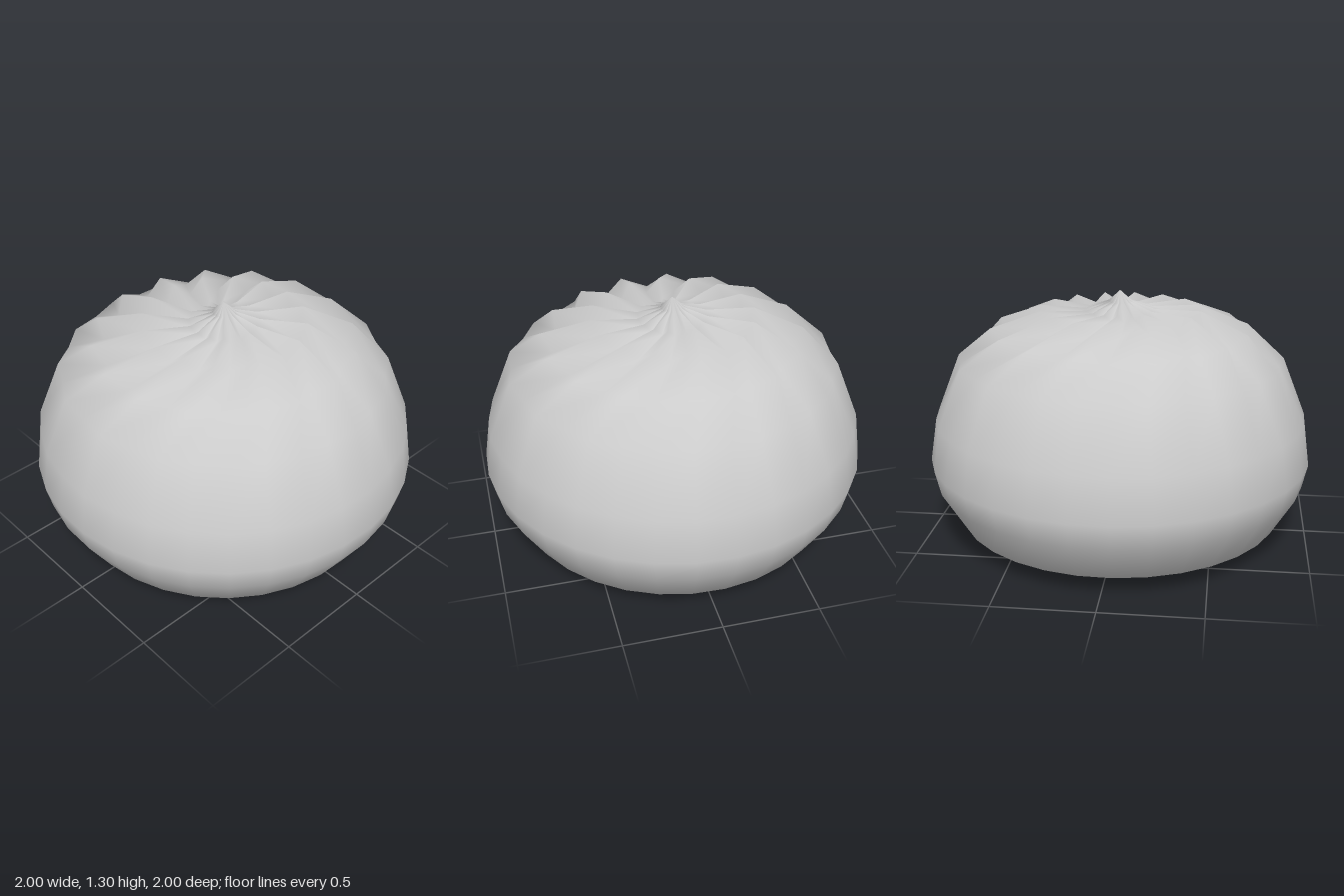
import * as THREE from 'three';

const PLEATS = 16;
const SIDES = PLEATS * 2;
const rad = THREE.MathUtils.degToRad;

// Rings from base to tip: ridge radius, ridge height, swirl in degrees,
// then how far each valley sinks inward and downward
const RINGS = [
  [0.53, 0.0, 3.7, 0, 0],
  [0.85, 0.1, 3.7, 0, 0],
  [0.97, 0.3, 3.7, 0, 0],
  [1.0, 0.43, 3.7, 0, 0],
  [0.97, 0.65, 3.7, 0.005, 0],
  [0.85, 0.95, 4, 0.025, 0.005],
  [0.67, 1.11, 11, 0.06, 0.045],
  [0.42, 1.205, 18, 0.035, 0.06],
  [0.18, 1.203, 24, 0.02, 0.035],
  [0.06, 1.245, 26, 0.02, 0.01],
];

// Round dough body whose upper rings alternate between ridge and valley
function pleatedBody() {
  const pos = [], index = [];
  for (const [r, y, swirl, sinkIn, sinkDown] of RINGS) {
    for (let k = 0; k < SIDES; k++) {
      const a = rad(swirl + (k * 360) / SIDES);
      const valley = k % 2;
      const rr = r - valley * sinkIn;
      pos.push(rr * Math.cos(a), y - valley * sinkDown, -rr * Math.sin(a));
    }
  }
  const tip = pos.length / 3;
  pos.push(0, 1.3, 0);

  const last = RINGS.length - 1;
  for (let j = 0; j <= last; j++) {
    for (let k = 0; k < SIDES; k++) {
      const n = (k + 1) % SIDES;
      const a = j * SIDES + k, b = j * SIDES + n;
      if (j === last) index.push(a, b, tip);
      else index.push(a, b, b + SIDES, a, b + SIDES, a + SIDES);
    }
  }
  const geo = new THREE.BufferGeometry();
  geo.setAttribute('position', new THREE.Float32BufferAttribute(pos, 3));
  geo.setIndex(index);
  geo.computeVertexNormals();
  return geo;
}

export function createModel() {
  const group = new THREE.Group();
  group.name = 'steamedBun';
  const dough = new THREE.MeshStandardMaterial({ color: 0xcccccc });

  const body = new THREE.Mesh(pleatedBody(), dough);
  body.name = 'pleatedBody';

  // Flat underside
  const disc = new THREE.CircleGeometry(RINGS[0][0], SIDES, rad(-RINGS[0][2]));
  disc.rotateX(Math.PI / 2);
  const base = new THREE.Mesh(disc, dough);
  base.name = 'flatBase';

  group.add(body, base);
  return group;
}
